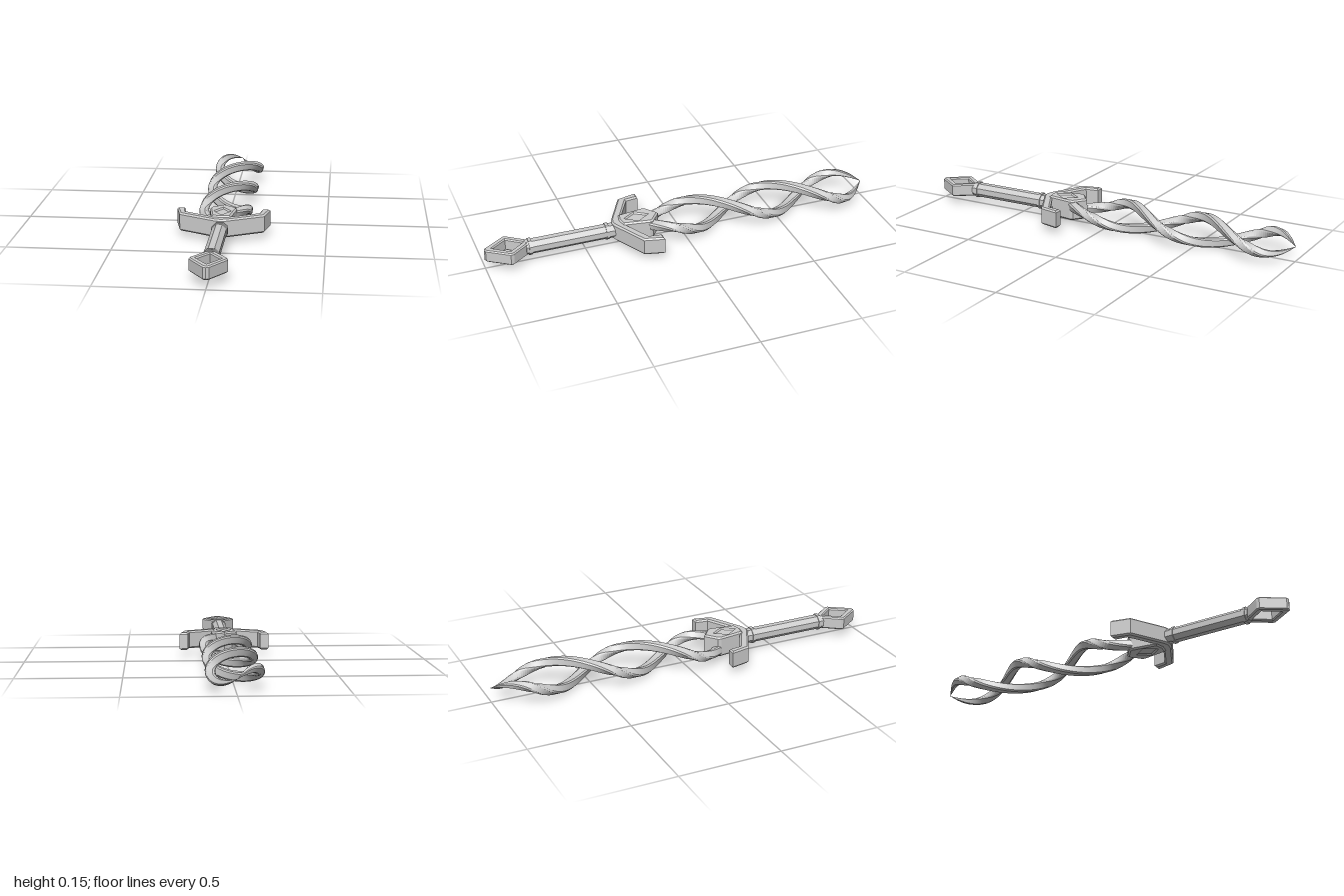
import * as THREE from 'three';
import { toCreasedNormals } from 'three/addons/utils/BufferGeometryUtils.js';

const CY = 0.075; // height of the sword's axis
const steel = new THREE.MeshStandardMaterial({ color: 0xcccccc });
steel.name = 'light steel grey';

function add(group, name, geometry) {
  const mesh = new THREE.Mesh(geometry, steel);
  mesh.name = name;
  group.add(mesh);
}

// Closed outline from [x, z] points of the +x half, mirrored to -x
function outline(half, Type = THREE.Shape) {
  const mirrored = half.filter(([x]) => x > 0).reverse().map(([x, z]) => [-x, z]);
  return new Type([...half, ...mirrored].map(([x, z]) => new THREE.Vector2(x, -z)));
}

// Bevelled slab lying flat, centred on the axis height
function slab(half, height, bevel, hole) {
  const shape = outline(half);
  if (hole) shape.holes.push(outline(hole, THREE.Path));
  const geo = new THREE.ExtrudeGeometry(shape, {
    depth: height - 2 * bevel, bevelEnabled: bevel > 0, bevelThickness: bevel,
    bevelSize: bevel, bevelOffset: -bevel, bevelSegments: 1,
  });
  return geo.translate(0, 0, bevel - height / 2).rotateX(-Math.PI / 2).translate(0, CY, 0);
}

// Octagonal rod along z, flat side up
function rod(apothem, z0, z1) {
  const r = apothem / Math.cos(Math.PI / 8);
  const geo = new THREE.CylinderGeometry(r, r, z1 - z0, 8, 1, false, Math.PI / 8);
  return toCreasedNormals(geo.rotateX(Math.PI / 2).translate(0, CY, (z0 + z1) / 2), 0.5);
}

// One blade strand: slightly bevelled square section swept along an elliptical helix
function strand(side) {
  const A = 0.108, B = 0.052, Z0 = 0.2, Z1 = -1, STEPS = 110;
  const section = [[22, -14], [22, 14], [15, 21], [-15, 21], [-21, 14], [-21, -14], [-15, -21], [15, -21]];
  const angle = (z) => (Math.PI * (0.03 - z)) / 0.412;
  const tipFade = (z) => 1 - Math.max(0, (-0.8 - z) / 0.2) ** 2;
  const point = (z) => {
    const p = angle(z);
    const rise = (1 - 0.6 * THREE.MathUtils.smoothstep(z, -0.05, 0.2)) * tipFade(z);
    return new THREE.Vector3(side * A * Math.cos(p), CY - side * B * rise * Math.sin(p), z);
  };
  const positions = [], index = [], n = section.length;
  for (let i = 0; i <= STEPS; i++) {
    const z = Z0 + ((Z1 - Z0) * i) / STEPS, p = angle(z);
    const t = point(z - 0.002).sub(point(z + 0.002)).normalize();
    const out = new THREE.Vector3(side * Math.cos(p) / A, -side * Math.sin(p) / B, 0);
    out.addScaledVector(t, -out.dot(t)).normalize();
    const across = new THREE.Vector3().crossVectors(t, out);
    const size = 0.001 * Math.max(0.05, tipFade(z));
    for (const [u, v] of section) {
      const q = point(z).addScaledVector(out, u * size).addScaledVector(across, v * size);
      positions.push(q.x, q.y, Math.max(q.z, -1));
    }
    if (i === STEPS) break;
    for (let j = 0; j < n; j++) {
      const a = i * n + j, b = i * n + ((j + 1) % n);
      index.push(a, b, a + n, b, b + n, a + n);
    }
  }
  const geo = new THREE.BufferGeometry();
  geo.setAttribute('position', new THREE.Float32BufferAttribute(positions, 3));
  geo.setIndex(index);
  return toCreasedNormals(geo, 0.6);
}

export function createModel() {
  const sword = new THREE.Group();
  sword.name = 'twistedSword';

  // Blade: two strands winding round each other
  add(sword, 'bladeStrandLeft', strand(1));
  add(sword, 'bladeStrandRight', strand(-1));

  // Cross guard with upturned ends
  add(sword, 'crossGuard', slab([
    [0, 0.362], [0.03, 0.355], [0.204, 0.264], [0.227, 0.165],
    [0.185, 0.165], [0.176, 0.229], [0.03, 0.307], [0, 0.307],
  ], 0.09, 0.008));

  // Blade socket with a sunken diamond on both faces
  add(sword, 'bladeSocket', slab([
    [0, 0.325], [0.046, 0.315], [0.066, 0.185], [0.062, 0.168], [0, 0.12],
  ], 0.104, 0.008, [[0, 0.288], [0.034, 0.235], [0, 0.182]]));
  add(sword, 'socketDiamond', slab([[0, 0.3], [0.043, 0.235], [0, 0.17]], 0.09, 0));

  // Grip and its end rings
  add(sword, 'grip', rod(0.0345, 0.33, 0.8));
  add(sword, 'gripRingFront', rod(0.039, 0.77, 0.786));
  add(sword, 'gripRingBack', rod(0.039, 0.382, 0.398));

  // Open diamond pommel
  add(sword, 'pommel', slab([
    [0, 1], [0.014, 0.995], [0.086, 0.89], [0.084, 0.874], [0.018, 0.785], [0, 0.785],
  ], 0.064, 0.006, [[0, 0.96], [0.054, 0.884], [0, 0.812]]));

  return sword;
}
